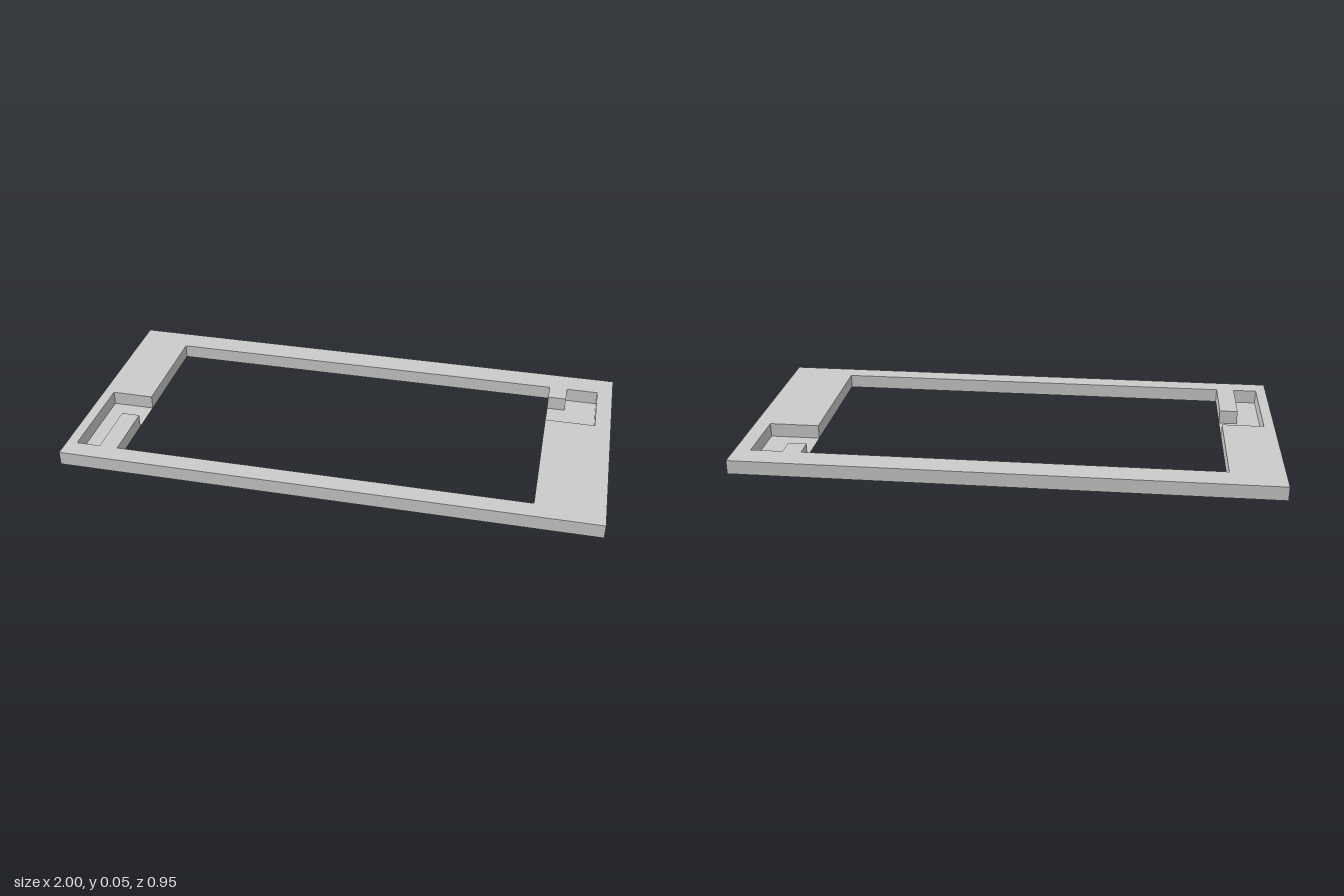
import * as THREE from 'three';

const H = 0.053; // frame height
const D = 0.473; // half depth

const material = new THREE.MeshStandardMaterial({ color: 0xcccccc, flatShading: true, side: THREE.DoubleSide });

// Outlines as [x, z] points
const outer = [[-1, -D], [-1, D], [1, D], [1, -D]];
// Opening joined with the two corner recesses
const opening = [
  [-0.8, -0.375], [0.75, -0.375],
  [0.75, -0.3], [0.82, -0.3], [0.82, -0.375], [0.94, -0.375], [0.94, -0.135], [0.75, -0.135],
  [0.75, 0.4], [-0.8, 0.4],
  [-0.8, 0.175], [-0.87, 0.175], [-0.87, 0.4], [-0.96, 0.4], [-0.96, 0.04], [-0.8, 0.04],
];
const leftFloor = [[0.75, -0.3], [0.82, -0.3], [0.82, -0.375], [0.94, -0.375], [0.94, -0.135], [0.75, -0.135]];
const rightFloor = [[-0.8, 0.175], [-0.87, 0.175], [-0.87, 0.4], [-0.96, 0.4], [-0.96, 0.04], [-0.8, 0.04]];
const rail = (z0, z1) => [[-0.8, z0], [0.75, z0], [0.75, z1], [-0.8, z1]];

// Horizontal sheet facing up (or down)
function sheet(name, outline, y, hole, down = false) {
  const s = down ? 1 : -1;
  const toPoints = (pts) => pts.map(([x, z]) => new THREE.Vector2(x, s * z));
  const shape = new THREE.Shape(toPoints(outline));
  if (hole) shape.holes.push(new THREE.Path(toPoints(hole)));
  const geometry = new THREE.ShapeGeometry(shape);
  geometry.rotateX(s * Math.PI / 2);
  geometry.translate(0, y, 0);
  return named(name, geometry);
}

// Upright walls following a closed outline
function walls(name, outline) {
  const positions = [];
  outline.forEach(([ax, az], i) => {
    const [bx, bz] = outline[(i + 1) % outline.length];
    positions.push(ax, 0, az, bx, 0, bz, bx, H, bz, ax, 0, az, bx, H, bz, ax, H, az);
  });
  const geometry = new THREE.BufferGeometry();
  geometry.setAttribute('position', new THREE.Float32BufferAttribute(positions, 3));
  geometry.computeVertexNormals();
  return named(name, geometry);
}

function named(name, geometry) {
  const mesh = new THREE.Mesh(geometry, material);
  mesh.name = name;
  return mesh;
}

export function createModel() {
  const group = new THREE.Group();
  group.name = 'bezelFrame';
  group.add(
    // Top face and all upright sides
    sheet('topFace', outer, H, opening),
    walls('outerWalls', outer),
    walls('openingWalls', opening),
    // Recess floors
    sheet('leftRecessFloor', leftFloor, 0),
    sheet('rightRecessFloor', rightFloor, 0),
    // Undersides of the long rails; the wide ends are hollow below
    sheet('backRailUnderside', rail(-D, -0.375), 0, null, true),
    sheet('frontRailUnderside', rail(0.4, D), 0, null, true),
  );
  return group;
}
